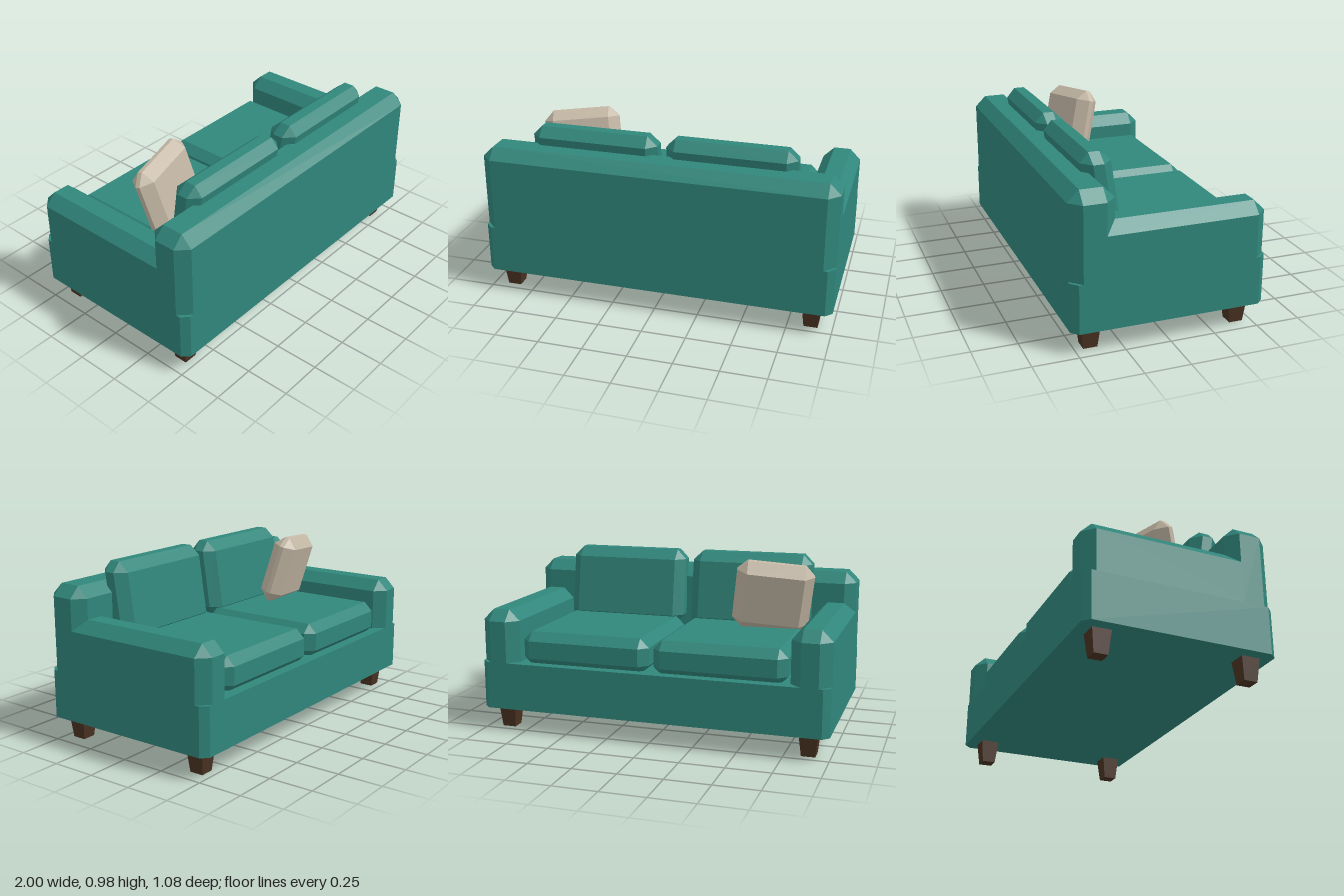
import * as THREE from 'three';
import { ConvexGeometry } from 'three/addons/geometries/ConvexGeometry.js';

const mat = (name, color) => {
  const m = new THREE.MeshStandardMaterial({ color, flatShading: true });
  m.name = name;
  return m;
};

// Box w x h x d centred on the origin with edges cut by c.
// cutTop / cutBottom choose whether those rims are cut too; lean shears z with height.
function chamferBox(w, h, d, c, { cutTop = true, cutBottom = true, lean = 0 } = {}) {
  const points = [];
  const X = w / 2, Y = h / 2, Z = d / 2;
  const add = (x, y, z) => points.push(new THREE.Vector3(x, y, z + lean * y));
  for (const sx of [-1, 1]) for (const sy of [-1, 1]) for (const sz of [-1, 1]) {
    const cut = sy > 0 ? cutTop : cutBottom;
    const y = sy * (cut ? Y - c : Y);
    add(sx * X, y, sz * (Z - c));
    add(sx * (X - c), y, sz * Z);
    if (cut) add(sx * (X - c), sy * Y, sz * (Z - c));
  }
  return new ConvexGeometry(points);
}

export function createModel() {
  const sofa = new THREE.Group();
  sofa.name = 'sofa';
  const fabric = mat('tealFabric', 0x30867b);
  const linen = mat('beigeLinen', 0xc4b8a5);
  const wood = mat('darkWood', 0x4a3222);

  const add = (name, geometry, material, x, y, z) => {
    const mesh = new THREE.Mesh(geometry, material);
    mesh.name = name;
    mesh.position.set(x, y, z);
    sofa.add(mesh);
    return mesh;
  };

  // Base and backrest
  add('base', chamferBox(2, 0.27, 1.075, 0.038, { cutTop: false, cutBottom: false }), fabric, 0, 0.265, 0);
  add('backrest', chamferBox(2, 0.475, 0.247, 0.062, { cutBottom: false }), fabric, 0, 0.6375, 0.414);

  // Parts repeated on both sides
  const armGeo = chamferBox(0.22, 0.3, 0.98, 0.062, { cutBottom: false });
  const seatGeo = chamferBox(0.75, 0.2, 0.755, 0.05);
  const backGeo = chamferBox(0.725, 0.445, 0.17, 0.055, { lean: 0.15 });
  const legGeo = new THREE.CylinderGeometry(0.105 * Math.SQRT1_2, 0.077 * Math.SQRT1_2, 0.13, 4);
  legGeo.rotateY(Math.PI / 4);
  for (const [side, s] of [['left', 1], ['right', -1]]) {
    add(side + 'Arm', armGeo, fabric, s * 0.89, 0.55, -0.0475);
    add(side + 'SeatCushion', seatGeo, fabric, s * 0.388, 0.48, -0.1275);
    add(side + 'BackCushion', backGeo, fabric, s * 0.387, 0.7525, 0.28);
    for (const [end, z] of [['Back', 0.415], ['Front', -0.415]]) {
      add(side + end + 'Leg', legGeo, wood, s * 0.88, 0.065, z);
    }
  }

  // Loose pillow, turned and leaning
  const pillow = add('throwPillow', chamferBox(0.44, 0.41, 0.14, 0.057), linen, -0.57, 0.767, 0.028);
  pillow.rotation.set(-0.26, 0.2, 0.1, 'YXZ');

  return sofa;
}
